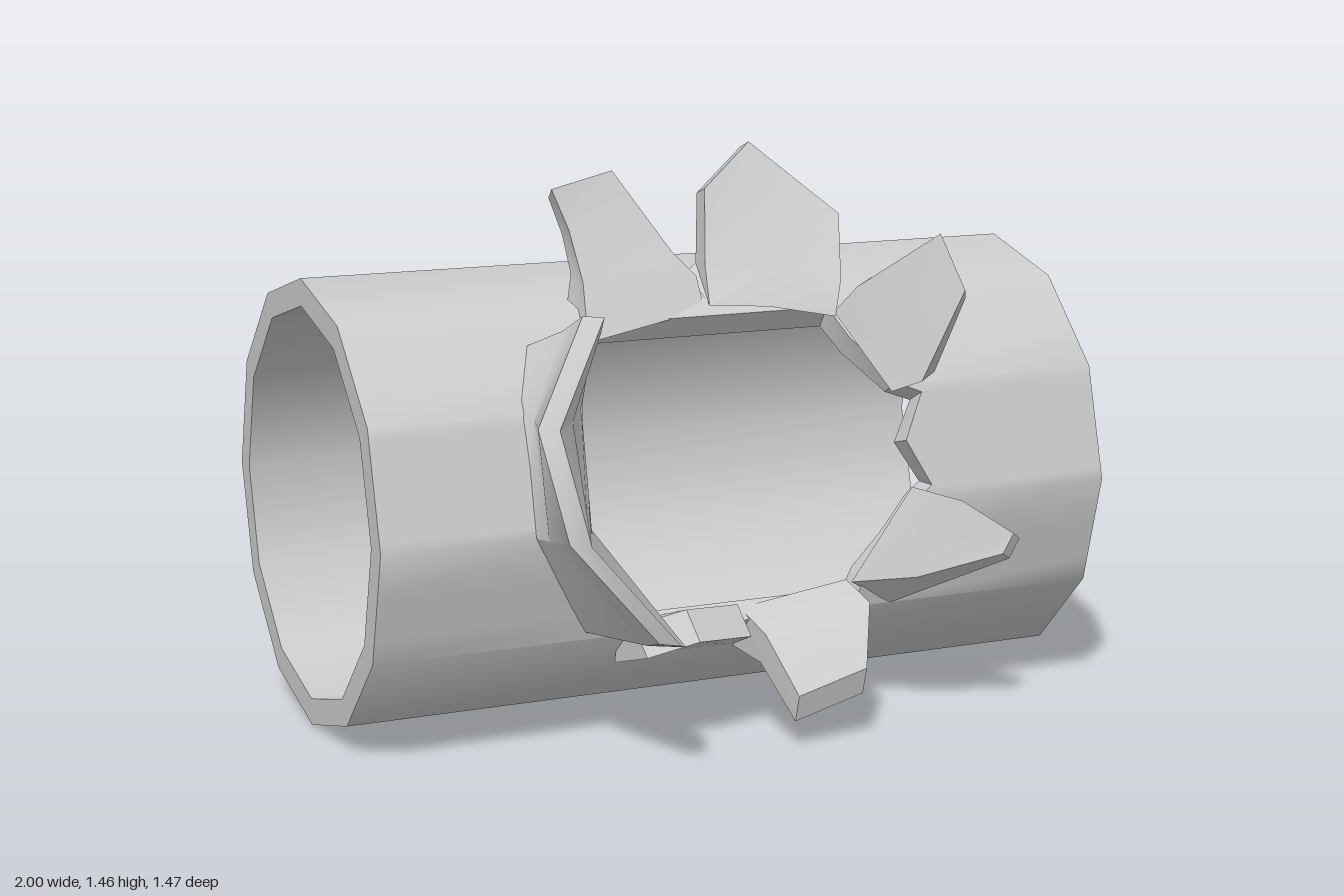
import * as THREE from 'three';
import { toCreasedNormals } from 'three/addons/utils/BufferGeometryUtils.js';

const R_OUT = 0.58, R_IN = 0.51, CY = 0.58, CZ = -0.155;

// Point on the twelve-sided pipe section; angle 0 faces the front, 90 is up.
function onPipe(x, deg, r) {
  const a = Math.floor(deg / 30) * 30, t = (deg - a) / 30;
  const at = (d, f) => f(THREE.MathUtils.degToRad(d)) * r;
  const mix = (f) => at(a, f) * (1 - t) + at(a + 30, f) * t;
  return [x, CY + mix(Math.sin), CZ + mix(Math.cos)];
}

function meshFrom(name, quads, crease) {
  const pos = [];
  for (const [a, b, c, d] of quads) pos.push(...a, ...b, ...c, ...a, ...c, ...d);
  const geo = new THREE.BufferGeometry();
  geo.setAttribute('position', new THREE.Float32BufferAttribute(pos, 3));
  const mesh = new THREE.Mesh(toCreasedNormals(geo, crease),
    new THREE.MeshStandardMaterial({ color: 0xcccccc, side: THREE.DoubleSide }));
  mesh.name = name;
  return mesh;
}

// Pipe wall with a torn opening: each row is [angle, left hole edge, right hole edge].
function pipeWall() {
  const rows = [
    [-30, -0.3, 0.3], [-23, -0.36, 0.32], [-12, -0.42, 0.39], [0, -0.46, 0.45], [3, -0.46, 0.49],
    [15, -0.46, 0.43], [27, -0.455, 0.49], [30, -0.45, 0.42], [45, -0.4, 0.34], [55, -0.37, 0.31],
  ];
  for (let d = 60; d <= 330; d += 30) rows.push([d]);
  const quads = [];
  const rim = (p, q) => quads.push([
    onPipe(...p, R_OUT), onPipe(...p, R_IN), onPipe(...q, R_IN), onPipe(...q, R_OUT)]);
  const panel = (a, b, xa0, xa1, xb0, xb1) => {
    quads.push([onPipe(xa0, a, R_OUT), onPipe(xa1, a, R_OUT), onPipe(xb1, b, R_OUT), onPipe(xb0, b, R_OUT)]);
    quads.push([onPipe(xb0, b, R_IN), onPipe(xb1, b, R_IN), onPipe(xa1, a, R_IN), onPipe(xa0, a, R_IN)]);
  };
  for (let i = 0; i < rows.length - 1; i++) {
    const [a, la, ra] = rows[i], [b, lb, rb] = rows[i + 1];
    if (la !== undefined && lb !== undefined) {
      panel(a, b, -1, la, -1, lb);
      panel(a, b, ra, 1, rb, 1);
      rim([la, a], [lb, b]);
      rim([rb, b], [ra, a]);
    } else panel(a, b, -1, 1, -1, 1);
    rim([1, a], [1, b]);
    rim([-1, b], [-1, a]);
  }
  rim([0.3, -30], [-0.3, -30]);
  rim([-0.37, 55], [0.31, 55]);
  return meshFrom('pipeWall', quads, 0.6);
}

// Bent shard of wall: rows of inner-face points from root to tip,
// and one offset per row to the outer face.
function shard(name, rows, offsets) {
  const back = rows.map((row, r) => row.map((p) => p.map((v, k) => v + offsets[r][k])));
  const quads = [];
  const last = rows.length - 1, end = rows[0].length - 1;
  for (let r = 0; r < last; r++) {
    for (let c = 0; c < end; c++) {
      quads.push([rows[r][c], rows[r][c + 1], rows[r + 1][c + 1], rows[r + 1][c]]);
      quads.push([back[r + 1][c], back[r + 1][c + 1], back[r][c + 1], back[r][c]]);
    }
    quads.push([rows[r][0], rows[r + 1][0], back[r + 1][0], back[r][0]]);
    quads.push([back[r][end], back[r + 1][end], rows[r + 1][end], rows[r][end]]);
  }
  for (let c = 0; c < end; c++) {
    quads.push([rows[last][c], rows[last][c + 1], back[last][c + 1], back[last][c]]);
    quads.push([back[0][c], back[0][c + 1], rows[0][c + 1], rows[0][c]]);
  }
  return meshFrom(name, quads, 0.65);
}

export function createModel() {
  const group = new THREE.Group();
  group.name = 'burstPipe';
  group.add(pipeWall());

  // Shards bent up and back over the top edge
  group.add(shard('topRightShard', [
    [[-0.38, 1.01, 0.22], [-0.03, 1.06, 0.15]],
    [[-0.36, 1.15, 0.14], [-0.03, 1.14, 0.1]],
    [[-0.36, 1.27, 0.05], [-0.08, 1.2, 0.06]],
    [[-0.39, 1.37, 0.01], [-0.19, 1.4, -0.07]],
  ], [[0, 0.07, -0.14], [0, 0.01, -0.08], [0.01, -0.02, -0.07], [0.02, -0.03, -0.07]]));
  group.add(shard('topLeftShard', [
    [[-0.02, 1.07, 0.16], [0.14, 1.06, 0.17], [0.31, 1.03, 0.22]],
    [[0, 1.16, 0.09], [0.17, 1.15, 0.12], [0.34, 1.12, 0.19]],
    [[0.04, 1.35, 0], [0.19, 1.46, -0.05], [0.41, 1.27, 0.04]],
  ], [[0, 0.07, -0.14], [0.01, 0, -0.08], [0.01, -0.02, -0.07]]));

  // Shards bent out beside the model's left edge
  group.add(shard('upperLeftShard', [
    [[0.31, 1.04, 0.21], [0.4, 0.85, 0.36]],
    [[0.35, 1.11, 0.26], [0.46, 0.88, 0.41]],
    [[0.53, 1.25, 0.37], [0.57, 1.11, 0.43]],
  ], [[0.09, 0.02, 0], [0.07, 0.01, -0.06], [0.03, -0.03, -0.05]]));
  group.add(shard('lowerLeftShard', [
    [[0.29, 0.36, 0.36], [0.43, 0.61, 0.42]],
    [[0.41, 0.39, 0.49], [0.51, 0.59, 0.54]],
    [[0.59, 0.46, 0.61], [0.62, 0.51, 0.61]],
  ], [[0.12, -0.07, -0.01], [0.05, -0.05, -0.05], [0.03, -0.02, -0.02]]));

  // Shards folded out over the bottom edge
  group.add(shard('bottomLeftShard', [
    [[0, 0.31, 0.3], [0.29, 0.36, 0.33]],
    [[0.01, 0.27, 0.43], [0.29, 0.33, 0.46]],
    [[0.04, 0.14, 0.56], [0.23, 0.19, 0.56]],
  ], [[0, -0.11, -0.04], [0, -0.08, -0.03], [0, -0.07, -0.02]]));
  group.add(shard('bottomRightLip', [
    [[-0.34, 0.31, 0.31], [-0.18, 0.32, 0.3], [0, 0.31, 0.28]],
    [[-0.33, 0.32, 0.38], [-0.21, 0.36, 0.43], [-0.04, 0.34, 0.37]],
  ], [[0, -0.11, -0.03], [0.01, -0.07, 0.06]]));

  // Long lip curling out along the model's right edge, widest at its foot
  group.add(shard('rightLip', [
    [[-0.37, 1.01, 0.22], [-0.45, 0.87, 0.34], [-0.45, 0.58, 0.4], [-0.29, 0.31, 0.35]],
    [[-0.4, 1.06, 0.35], [-0.51, 0.86, 0.43], [-0.51, 0.58, 0.52], [-0.28, 0.31, 0.58]],
    [[-0.43, 1.11, 0.44], [-0.58, 0.86, 0.52], [-0.55, 0.6, 0.64], [-0.36, 0.36, 0.73]],
  ], [[-0.17, 0, -0.02], [-0.08, 0, -0.05], [-0.04, 0, -0.04]]));
  return group;
}
